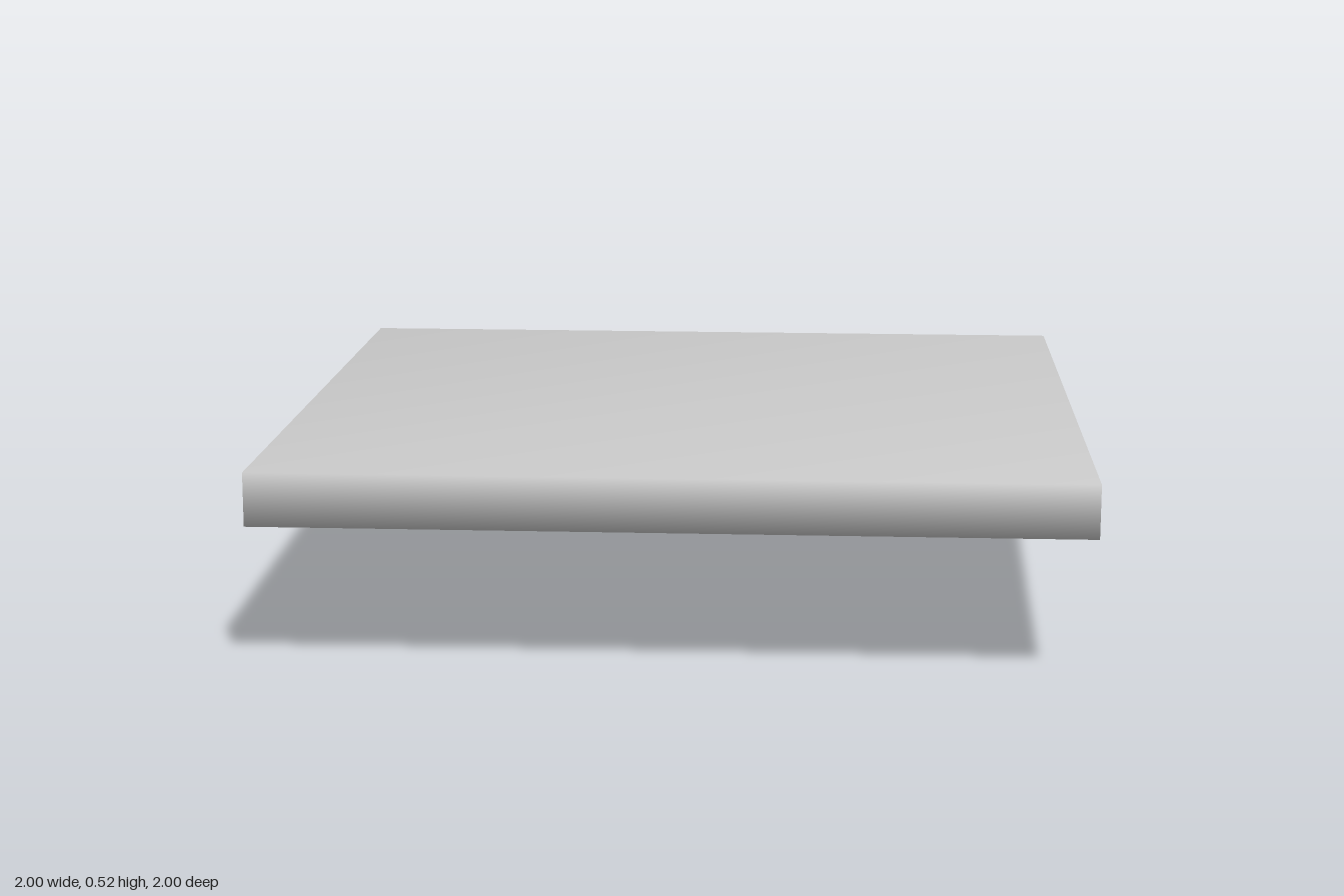
import * as THREE from 'three';
import { mergeVertices } from 'three/addons/utils/BufferGeometryUtils.js';

const material = new THREE.MeshStandardMaterial({ color: 0xcccccc });

function part(name, geometry) {
  const mesh = new THREE.Mesh(geometry, material);
  mesh.name = name;
  return mesh;
}

// Box with shared corners, so shading runs softly around the thin rim
function softBox(w, h, d) {
  const geometry = new THREE.BoxGeometry(w, h, d);
  geometry.deleteAttribute('normal');
  geometry.deleteAttribute('uv');
  const merged = mergeVertices(geometry);
  merged.computeVertexNormals();
  return merged;
}

// Sweeps a section (a: outward, b: along z) along a flat path with mitred corners
function mitredSweep(path, section) {
  const normals = path.slice(1).map((p, i) => {
    const d = p.clone().sub(path[i]).normalize();
    return new THREE.Vector2(-d.y, d.x);
  });
  const positions = [], index = [], n = section.length;
  path.forEach((p, i) => {
    const n0 = normals[Math.max(i - 1, 0)];
    const n1 = normals[Math.min(i, normals.length - 1)];
    const mitre = n0.clone().add(n1).divideScalar(1 + n0.dot(n1));
    for (const [a, b] of section) positions.push(p.x + mitre.x * a, p.y + mitre.y * a, b);
    if (i === 0) return;
    for (let j = 0; j < n; j++) {
      const k = (j + 1) % n, s = (i - 1) * n, e = i * n;
      index.push(s + j, s + k, e + j, s + k, e + k, e + j);
    }
  });
  const geometry = new THREE.BufferGeometry();
  geometry.setAttribute('position', new THREE.Float32BufferAttribute(positions, 3));
  geometry.setIndex(index);
  geometry.computeVertexNormals();
  return geometry;
}

// Thin plate with cut corners and a bevelled underside
function footPlate(w, d) {
  const bevel = 0.008, x = w / 2 - bevel, y = d / 2 - bevel, c = 0.018;
  const shape = new THREE.Shape([
    [x - c, -y], [x, -y + c], [x, y - c], [x - c, y],
    [-x + c, y], [-x, y - c], [-x, -y + c], [-x + c, -y],
  ].map(([px, py]) => new THREE.Vector2(px, py)));
  return new THREE.ExtrudeGeometry(shape, {
    depth: 0.015, bevelSize: bevel, bevelThickness: bevel, bevelSegments: 1,
  }).rotateX(Math.PI / 2);
}

export function createModel() {
  const model = new THREE.Group();
  model.name = 'hatchLid';

  // Everything sits in the tilted frame of the lid
  const lid = new THREE.Group();
  lid.name = 'tiltedLid';
  lid.position.y = 0.4125;
  lid.rotation.x = -0.0425;
  model.add(lid);
  lid.add(part('panel', softBox(1.995, 0.13, 1.995)));

  // Handle loop under the back edge
  const handle = new THREE.Group();
  handle.name = 'handle';
  handle.position.z = -0.88;
  lid.add(handle);

  const half = [[0.051, -0.045], [0.114, -0.128], [0.114, -0.302], [0.057, -0.357]];
  const path = [...half, ...half.map(([x, y]) => [-x, y]).reverse()]
    .map(([x, y]) => new THREE.Vector2(x, y));
  const section = [
    [0.017, -0.026], [0.017, 0.026], [0.006, 0.0425], [-0.006, 0.0425],
    [-0.017, 0.026], [-0.017, -0.026], [-0.006, -0.0425], [0.006, -0.0425],
  ];
  handle.add(part('handleLoop', mitredSweep(path, section)));

  // Mounting plates
  for (const [side, name] of [[1, 'leftFootPlate'], [-1, 'rightFootPlate']]) {
    const plate = part(name, footPlate(0.167, 0.085));
    plate.position.set(side * 0.117, -0.057, 0);
    handle.add(plate);
  }
  return model;
}
